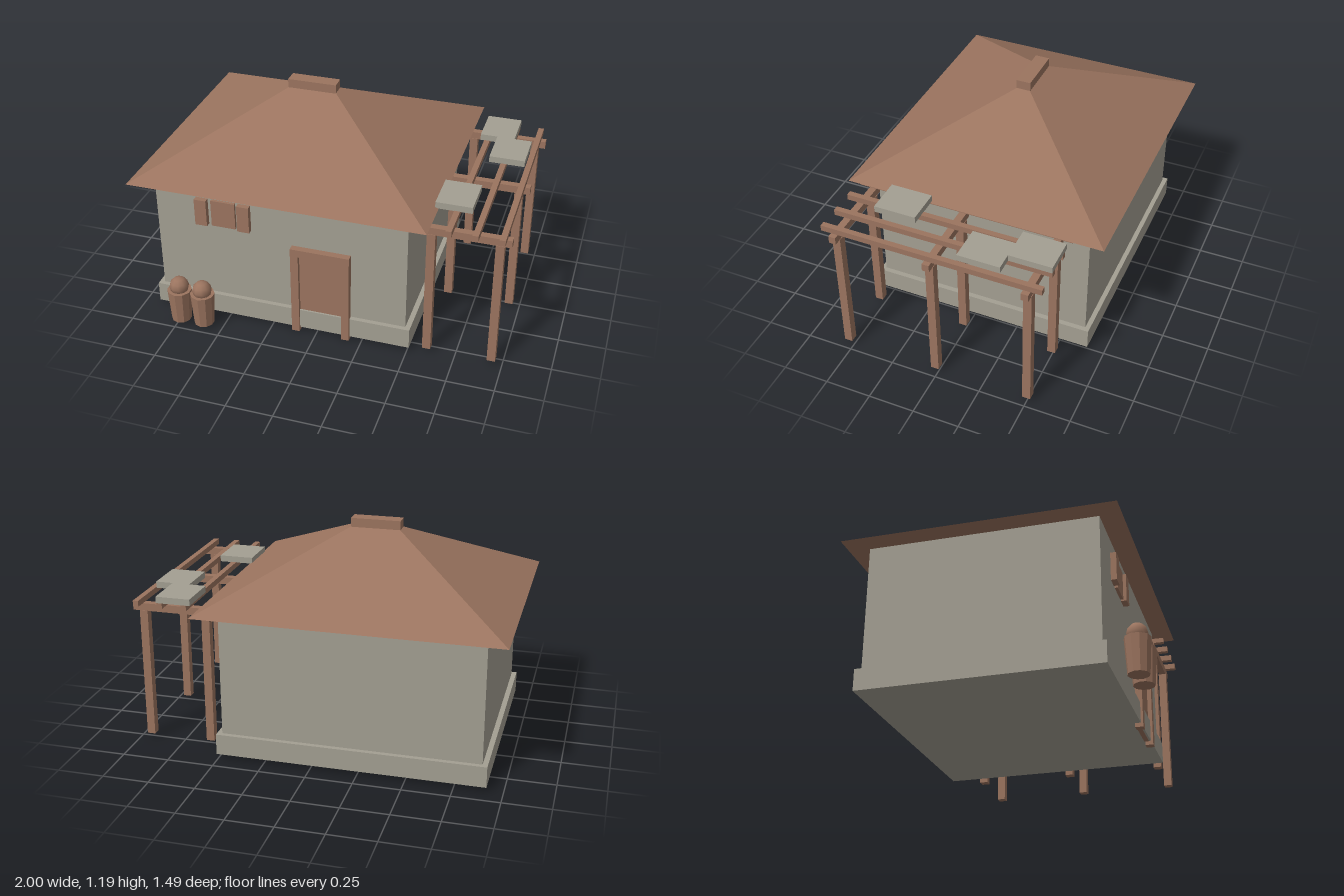
import * as THREE from 'three';

export function createModel() {
  const model = new THREE.Group();
  const stone = new THREE.MeshStandardMaterial({ color: 0xa39f92 });
  stone.name = 'grey stone';
  const wood = new THREE.MeshStandardMaterial({ color: 0x9b745f });
  wood.name = 'brown wood';

  const add = (name, geometry, material, parent = model) => {
    const mesh = new THREE.Mesh(geometry, material);
    mesh.name = name;
    parent.add(mesh);
    return mesh;
  };
  const addGroup = (name) => {
    const group = new THREE.Group();
    group.name = name;
    model.add(group);
    return group;
  };
  // Box given by its extents on each axis
  const box = (name, material, [x0, x1], [y0, y1], [z0, z1], parent) => {
    const mesh = add(name, new THREE.BoxGeometry(x1 - x0, y1 - y0, z1 - z0), material, parent);
    mesh.position.set((x0 + x1) / 2, (y0 + y1) / 2, (z0 + z1) / 2);
    return mesh;
  };
  const around = (c, size) => [c - size / 2, c + size / 2];

  // House body
  box('foundation', stone, [-0.915, 0.51], [0.022, 0.135], [-0.66, 0.575]);
  box('walls', stone, [-0.888, 0.483], [0.135, 0.803], [-0.635, 0.55]);

  // Hipped roof: a box whose top face is drawn in to the ridge
  const roof = new THREE.BoxGeometry(1.6, 0.343, 1.405);
  const p = roof.attributes.position;
  for (let i = 0; i < p.count; i++) {
    if (p.getY(i) > 0) {
      p.setX(i, Math.sign(p.getX(i)) * 0.133);
      p.setZ(i, Math.sign(p.getZ(i)) * 0.038);
    }
  }
  roof.computeVertexNormals();
  add('roof', roof, wood).position.set(-0.2, 0.9745, -0.0425);
  box('ridgeCap', wood, [-0.335, -0.069], [1.14, 1.194], [-0.081, -0.004]);

  // Door with its frame
  const door = addGroup('door');
  box('doorPanel', wood, [-0.092, 0.142], [0.02, 0.482], [0.54, 0.565], door);
  for (const x of [-0.113, 0.163]) box('doorJamb', wood, around(x, 0.043), [0, 0.482], [0.545, 0.587], door);
  box('doorLintel', wood, [-0.135, 0.185], [0.482, 0.525], [0.545, 0.587], door);

  // Window with open shutters
  const win = addGroup('window');
  box('windowPane', wood, [-0.573, -0.44], [0.574, 0.726], [0.545, 0.566], win);
  for (const x of [-0.627, -0.391]) box('shutter', wood, around(x, 0.066), [0.574, 0.726], [0.548, 0.58], win);

  // Lidded jars beside the wall
  for (const x of [-0.735, -0.603]) {
    const jar = addGroup('jar');
    jar.position.set(x, 0, 0.683);
    const body = new THREE.CylinderGeometry(0.066, 0.054, 0.187, 10).toNonIndexed();
    body.computeVertexNormals();
    add('jarBody', body, wood, jar).position.y = 0.1165;
    add('jarLid', new THREE.SphereGeometry(0.053, 10, 6), wood, jar).position.y = 0.232;
  }

  // Pergola: posts, cross beams and long rafters
  const pergola = addGroup('pergola');
  for (const z of [0.531, 0.018, -0.497]) {
    for (const x of [0.598, 0.942]) box('post', wood, around(x, 0.044), [0.022, 0.737], around(z, 0.044), pergola);
    box('crossBeam', wood, [0.54, 1], [0.735, 0.776], around(z, 0.038), pergola);
  }
  for (const x of [0.56, 0.694, 0.827, 0.959]) {
    box('rafter', wood, around(x, 0.03), [0.776, 0.808], [-0.575, 0.606], pergola);
  }

  // Flat slabs lying on the rafters
  const slabs = [
    [[0.658, 0.845], [-0.575, -0.347]],
    [[0.75, 0.94], [-0.347, -0.12]],
    [[0.582, 0.773], [0.185, 0.413]],
  ];
  for (const [x, z] of slabs) box('roofSlab', stone, x, [0.806, 0.841], z, pergola);

  return model;
}
